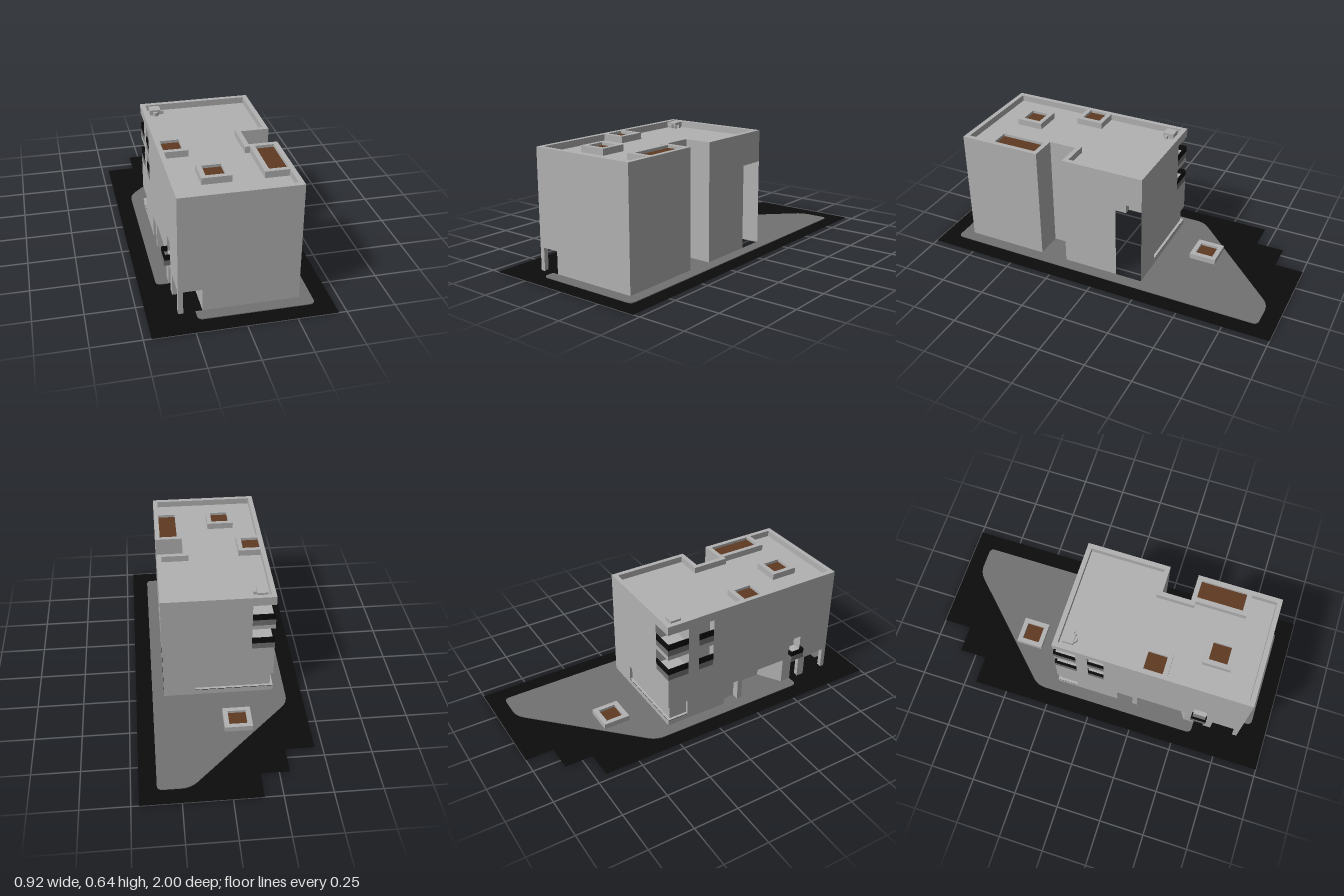
import * as THREE from 'three';
import { mergeGeometries } from 'three/addons/utils/BufferGeometryUtils.js';

const mat = (name, color) => new THREE.MeshStandardMaterial({ name, color, side: THREE.DoubleSide });

export function createModel() {
  const concrete = mat('concrete', 0xb2b2b2);
  const paving = mat('paving', 0x727272);
  const black = mat('asphalt black', 0x0c0c0c);
  const soil = mat('soil', 0x5e3a21);
  const root = new THREE.Group();
  root.name = 'building';

  const add = (name, geo, material) => {
    const m = new THREE.Mesh(geo, material);
    m.name = name;
    root.add(m);
    return m;
  };
  const box = (name, x0, x1, y0, y1, z0, z1, material) =>
    add(name, new THREE.BoxGeometry(x1 - x0, y1 - y0, z1 - z0)
      .translate((x0 + x1) / 2, (y0 + y1) / 2, (z0 + z1) / 2), material);

  // Plan outlines are lists of [x, z], with an optional corner radius
  const trace = (path, pts) => {
    pts.forEach(([x, z, r], i) => {
      const p = new THREE.Vector2(x, -z);
      if (!r) return i ? path.lineTo(p.x, p.y) : path.moveTo(p.x, p.y);
      const n = pts.length, toward = (q) =>
        new THREE.Vector2(q[0], -q[1]).sub(p).setLength(r).add(p);
      const a = toward(pts[(i + n - 1) % n]), b = toward(pts[(i + 1) % n]);
      if (i) path.lineTo(a.x, a.y); else path.moveTo(a.x, a.y);
      path.quadraticCurveTo(p.x, p.y, b.x, b.y);
    });
    path.closePath();
    return path;
  };
  const plan = (pts, hole) => {
    const s = trace(new THREE.Shape(), pts);
    if (hole) s.holes.push(trace(new THREE.Path(), hole));
    return s;
  };
  const flat = (shape, y) => new THREE.ShapeGeometry(shape, 5).rotateX(-Math.PI / 2).translate(0, y, 0);
  const slab = (shape, y, depth) =>
    new THREE.ExtrudeGeometry(shape, { depth, bevelEnabled: false, curveSegments: 5 })
      .rotateX(-Math.PI / 2).translate(0, y, 0);
  const rect = (x0, x1, z0, z1) => [[x0, z0], [x1, z0], [x1, z1], [x0, z1]];

  const X = 0.305, ZB = -0.23, ZF = 0.845, ROOF = 0.61, TOP = 0.645;
  const N0 = 0.23, N1 = 0.385, NX = 0.155; // side notch
  const PZ = 0.59, PX = -0.185;            // corner porch

  // Ground and pavement
  const rim = [[-0.22, 0.91, 0.03], [0.37, 0.91, 0.03], [0.37, -0.91, 0.03],
    [0.2, -0.91, 0.05], [-0.37, -0.34, 0.05], [-0.37, PZ, 0.03]];
  add('pavement', slab(plan([...rim, [-X, PZ], [-X, ZB], [X, ZB], [X, N0], [NX, N0],
    [NX, N1], [X, N1], [X, ZF], [-0.22, ZF]]), 0, 0.004), paving);
  add('ground', flat(plan(
    [[-0.46, 1], [0.46, 1], [0.46, -1], [-0.155, -1], [-0.155, -0.845],
      [-0.305, -0.845], [-0.305, -0.69], [-0.46, -0.69]],
    [...rim, [PX, PZ], [PX, ZF], [-0.22, ZF]]), 0), black);

  // Wall panels around rectangular openings [u0, u1, y0, y1]
  const wall = (name, axis, sign, c, u0, u1, openings = []) => {
    const cuts = (list) => [...new Set(list)].sort((a, b) => a - b);
    const us = cuts([u0, u1, ...openings.flatMap((o) => [o[0], o[1]])]);
    const vs = cuts([0, ROOF, ...openings.flatMap((o) => [o[2], o[3]])]);
    const parts = [];
    for (let i = 1; i < us.length; i++) for (let j = 1; j < vs.length; j++) {
      const u = (us[i] + us[i - 1]) / 2, v = (vs[j] + vs[j - 1]) / 2;
      if (openings.some((o) => u > o[0] && u < o[1] && v > o[2] && v < o[3])) continue;
      const g = new THREE.PlaneGeometry(us[i] - us[i - 1], vs[j] - vs[j - 1]);
      if (axis === 'x') g.rotateY(sign * Math.PI / 2).translate(c, v, u);
      else g.rotateY(sign > 0 ? 0 : Math.PI).translate(u, v, c);
      parts.push(g);
    }
    add(name, mergeGeometries(parts), concrete);
  };

  // Recess lined along an open plan path, with ceiling and floor
  const recess = (name, path, corner, y0, y1, floor = concrete) => {
    const parts = [];
    for (let i = 1; i < path.length; i++) {
      const [ax, az] = path[i - 1], [bx, bz] = path[i];
      parts.push(new THREE.PlaneGeometry(Math.hypot(bx - ax, bz - az), y1 - y0)
        .rotateY(Math.atan2(az - bz, bx - ax))
        .translate((ax + bx) / 2, (y0 + y1) / 2, (az + bz) / 2));
    }
    const area = plan([...path, ...corner]);
    parts.push(flat(area, y1));
    add(name, mergeGeometries(parts.map((g) => g.toNonIndexed())), concrete);
    add(name + 'Floor', flat(area, y0 + 0.003), floor);
  };

  const floors = [0.31, 0.465]; // upper storeys with loggias
  const H = 0.13, LX = -0.18, LZ = -0.105, BAND = [0.035, 0.125];

  // Outer walls
  wall('backWall', 'z', -1, ZB, -X, X,
    [[-X, 0.13, ...BAND], ...floors.map((y) => [-X, LX, y, y + H])]);
  wall('rightWall', 'x', -1, -X, ZB, ZF, [
    [ZB, -0.11, ...BAND],
    ...floors.flatMap((y) => [[ZB, LZ, y, y + H], [-0.04, 0.05, y, y + H]]),
    [0.13, 0.22, 0, 0.13], [0.25, 0.53, 0, 0.155],
    [0.57, 0.645, 0.185, 0.28], [PZ, 0.645, 0, 0.125], [0.69, 0.82, 0, 0.125]]);
  wall('frontWall', 'z', 1, ZF, -X, X, [[-0.28, PX, 0, 0.125]]);
  wall('leftWallBack', 'x', 1, X, ZB, N0, [[ZB, -0.08, 0, 0.47]]);
  wall('leftWallFront', 'x', 1, X, N1, ZF);
  wall('notchInnerWall', 'x', 1, NX, N0, N1);
  wall('notchBackWall', 'z', 1, N0, NX, X);
  wall('notchFrontWall', 'z', -1, N1, NX, X);

  // Low corner window band
  recess('windowBand', [[0.13, ZB], [0.13, -0.215], [-0.29, -0.215], [-0.29, -0.11], [-X, -0.11]],
    [[-X, ZB]], ...BAND);

  // Corner loggias and slit windows with slab and black railing
  for (const y of floors) {
    recess('loggia', [[LX, ZB], [LX, LZ], [-X, LZ]], [[-X, ZB]], y + 0.035, y + H);
    box('loggiaSlab', -X, LX, y, y + 0.035, ZB, LZ, paving);
    box('loggiaRailBack', -X, LX, y + 0.035, y + 0.07, ZB, ZB + 0.006, black);
    box('loggiaRailSide', -X, -X + 0.006, y + 0.035, y + 0.07, ZB, LZ, black);
    recess('slitWindow', [[-X, -0.04], [-0.265, -0.04], [-0.265, 0.05], [-X, 0.05]], [],
      y + 0.035, y + H);
    box('slitSlab', -X, -0.265, y, y + 0.035, -0.04, 0.05, paving);
    box('slitRail', -X, -X + 0.006, y + 0.035, y + 0.07, -0.04, 0.05, black);
  }

  // Ground-floor entrances
  recess('sideDoor', [[-X, 0.13], [-0.265, 0.13], [-0.265, 0.22], [-X, 0.22]], [], 0, 0.13, paving);
  recess('entrance', [[-X, 0.25], [-0.18, 0.25], [-0.18, 0.45], [-X, 0.53]], [], 0, 0.155, paving);

  // Corner porch with posts
  recess('porch', [[-X, PZ], [PX, PZ], [PX, ZF]], [[-X, ZF]], 0, 0.125, black);
  box('porchPost', -X, -0.28, 0, 0.125, 0.645, 0.69, concrete);
  box('cornerPost', -X, -0.28, 0, 0.125, 0.82, ZF, concrete);

  // Small projecting balcony
  recess('balconyDoor', [[-X, 0.57], [-0.25, 0.57], [-0.25, 0.645], [-X, 0.645]], [], 0.185, 0.28);
  box('balconySlab', -0.337, -0.25, 0.155, 0.185, 0.565, 0.65, paving);
  box('balconyRailFront', -0.335, -0.329, 0.185, 0.215, 0.565, 0.65, black);
  for (const z of [0.565, 0.644]) box('balconyRailSide', -0.335, -X, 0.185, 0.215, z, z + 0.006, black);

  // Roof and parapet
  const outline = [[-X, ZB], [X, ZB], [X, N0], [NX, N0], [NX, N1], [X, N1], [X, ZF], [-X, ZF]];
  const t = 0.026;
  add('roof', flat(plan(outline), ROOF), concrete);
  add('parapet', slab(plan(outline, [[-X + t, ZB + t], [X - t, ZB + t], [X - t, N0 - t],
    [NX - t, N0 - t], [NX - t, N1 + t], [X - t, N1 + t], [X - t, ZF - t], [-X + t, ZF - t]]),
  ROOF, TOP - ROOF), concrete);

  // Planters on the roof and in the yard
  const planter = (x0, x1, z0, z1, y) => {
    const inner = [x0 + t, x1 - t, z0 + t, z1 - t];
    add('planter', slab(plan(rect(x0, x1, z0, z1), rect(...inner)), y, 0.035), concrete);
    add('planterSoil', flat(plan(rect(...inner)), y + 0.02), soil);
  };
  planter(-0.155, -0.005, -0.54, -0.39, 0);
  planter(-0.155, -0.005, 0.535, 0.685, ROOF);
  planter(-X, -0.155, N0, N1, ROOF);
  planter(NX, X, N1, 0.685, ROOF);

  // Roof ventilation unit
  box('ventUnit', -0.265, -0.207, 0.618, TOP, -0.187, -0.128, concrete);
  box('ventBase', -0.255, -0.217, ROOF, 0.618, -0.177, -0.138, concrete);
  box('ventBracket', -0.207, -0.19, 0.615, 0.632, -0.155, -0.14, concrete);
  add('ventPipe', new THREE.CylinderGeometry(0.016, 0.016, 0.02, 12)
    .translate(-0.235, 0.625, -0.13), concrete);

  return root;
}
